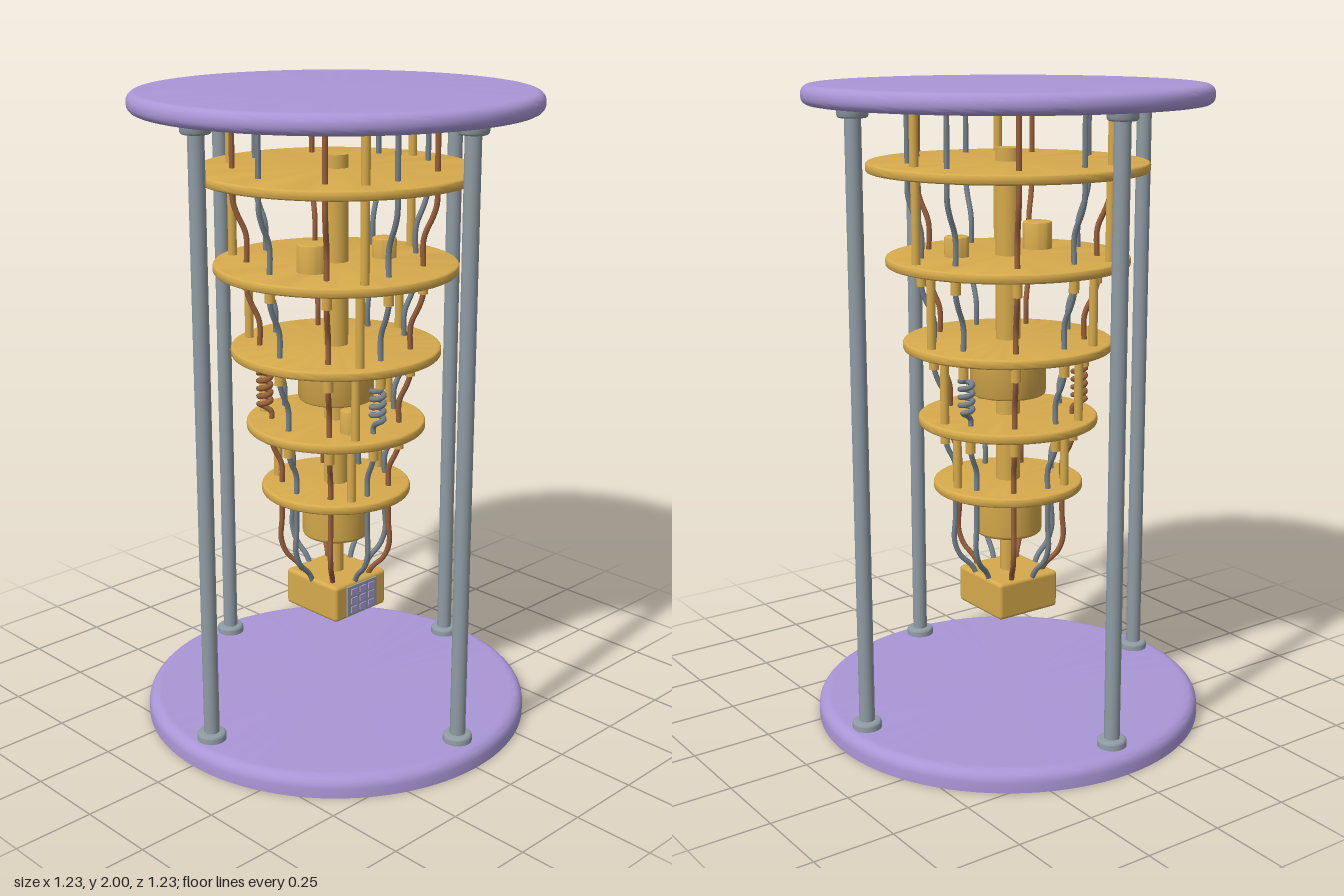
import * as THREE from 'three';
import { toCreasedNormals } from 'three/addons/utils/BufferGeometryUtils.js';
import { RoundedBoxGeometry } from 'three/addons/geometries/RoundedBoxGeometry.js';

const material = (name, color) => {
  const m = new THREE.MeshStandardMaterial({ color });
  m.name = name;
  return m;
};

export function createModel() {
  const root = new THREE.Group();
  root.name = 'cryostatChandelier';
  const lavender = material('lavender', 0xa996d6);
  const gold = material('gold', 0xd6aa4c);
  const steel = material('steel', 0x8f9ba3);
  const wireSteel = material('wireSteel', 0x75828b);
  const copper = material('copper', 0x99603c);

  const add = (name, geometry, mat, x = 0, y = 0, z = 0) => {
    const mesh = new THREE.Mesh(geometry, mat);
    mesh.name = name;
    mesh.position.set(x, y, z);
    root.add(mesh);
    return mesh;
  };

  // Upright cylinder between two heights
  const rod = (name, mat, r, y0, y1, x = 0, z = 0, sides = 20) =>
    add(name, new THREE.CylinderGeometry(r, r, y1 - y0, sides), mat, x, (y0 + y1) / 2, z);

  // Round plate or can with rounded rims; a zero bevel keeps that rim sharp
  const disc = (name, mat, r, y0, y1, bevelLow, bevelHigh, x = 0, z = 0, sides = 64) => {
    const h = y1 - y0;
    const pts = [new THREE.Vector2(0, 0)];
    const arc = (b, cy, from) => {
      if (b === 0) {
        pts.push(new THREE.Vector2(r, cy));
        return;
      }
      for (let i = 0; i <= 5; i++) {
        const a = from + (i / 5) * Math.PI / 2;
        pts.push(new THREE.Vector2(r - b + b * Math.cos(a), cy + b * Math.sin(a)));
      }
    };
    if (bevelLow) pts.push(new THREE.Vector2(r - bevelLow * 1.2, 0));
    arc(bevelLow, bevelLow, -Math.PI / 2);
    arc(bevelHigh, h - bevelHigh, 0);
    if (bevelHigh) pts.push(new THREE.Vector2(r - bevelHigh * 1.2, h));
    pts.push(new THREE.Vector2(0, h));
    return add(name, toCreasedNormals(new THREE.LatheGeometry(pts, sides), 0.6), mat, x, y0, z);
  };

  // Base and top plates
  disc('basePlate', lavender, 0.615, 0, 0.065, 0, 0.035, 0, 0, 96);
  disc('topPlate', lavender, 0.615, 1.94, 2, 0.025, 0.028, 0, 0, 96);

  // Four outer pillars with flanges
  for (let i = 0; i < 4; i++) {
    const x = 0.535 * Math.cos(i * Math.PI / 2), z = 0.535 * Math.sin(i * Math.PI / 2);
    rod('pillar', steel, 0.024, 0.06, 1.945, x, z, 24);
    disc('pillarFootFlange', steel, 0.045, 0.062, 0.09, 0, 0.01, x, z, 24);
    disc('pillarHeadFlange', steel, 0.045, 1.917, 1.945, 0.01, 0, x, z, 24);
  }

  // Stack of shrinking plates: height, radius, radius of the wire ring
  const tiers = [
    { y: 1.755, r: 0.43, wire: 0.31 },
    { y: 1.47, r: 0.375, wire: 0.272 },
    { y: 1.21, r: 0.325, wire: 0.236 },
    { y: 0.972, r: 0.28, wire: 0.203 },
    { y: 0.76, r: 0.235, wire: 0.172 },
  ];
  const half = 0.015;
  tiers.forEach((t) => disc('tierPlate', gold, t.r, t.y - half, t.y + half, 0.009, 0.009));

  // Three hanger rods above every plate
  tiers.forEach((t, i) => {
    const top = i ? tiers[i - 1].y : 1.945;
    const ring = i ? t.r - 0.043 : 0.335;
    for (let k = 0; k < 3; k++) {
      const a = k * Math.PI * 2 / 3;
      rod('hangerRod', gold, 0.0135, t.y, top, ring * Math.cos(a), ring * Math.sin(a), 14);
    }
  });

  // Central column and the cans fixed to the plates
  rod('centralColumn', gold, 0.038, 0.6, 1.81, 0, 0, 28);
  rod('chipStem', gold, 0.025, 0.46, 0.61);
  disc('mixingCan', gold, 0.118, 1.05, 1.2, 0.01, 0, 0, 0, 40);
  disc('lowerCan', gold, 0.107, 0.598, 0.75, 0.012, 0, 0, 0, 40);
  disc('tallCan', gold, 0.046, 1.48, 1.57, 0, 0.006, -0.155, 0.058, 28);
  disc('shortCan', gold, 0.038, 1.48, 1.547, 0, 0.006, 0.147, 0.062, 28);
  disc('smallCan', gold, 0.028, 0.98, 1.06, 0, 0.005, -0.08, 0.14, 24);

  // Nine wires run down the stack, alternating steel and copper
  const wireRadius = 0.0085;
  const tube = (name, curve, mat, steps) =>
    add(name, new THREE.TubeGeometry(curve, steps, wireRadius, 8, false), mat);

  for (let i = 0; i < 9; i++) {
    const a = THREE.MathUtils.degToRad(20 + 40 * i);
    const mat = i % 2 ? copper : wireSteel;
    const at = (r, y) => new THREE.Vector3(r * Math.cos(a), y, r * Math.sin(a));
    const line = (points) => new THREE.CatmullRomCurve3(points.map(([r, y]) => at(r, y)));

    tube('feedWire', line([[0.31, 1.945], [0.31, 1.76]]), mat, 2);

    for (let s = 0; s < 4; s++) {
      const r0 = tiers[s].wire, r1 = tiers[s + 1].wire;
      const y0 = tiers[s].y, y1 = tiers[s + 1].y, d = y0 - y1;
      if (s === 2 && i % 3 === 2) {
        // Coiled wire
        const c = at(0.222, 0);
        const pts = [at(r0, y0), at(r0, 1.15)];
        for (let k = 0; k <= 48; k++) {
          const t = k / 48, b = a + t * Math.PI * 8;
          pts.push(new THREE.Vector3(c.x + 0.019 * Math.cos(b), 1.135 - 0.1 * t, c.z + 0.019 * Math.sin(b)));
        }
        pts.push(at(r1, 1.01), at(r1, y1));
        tube('coiledWire', new THREE.CatmullRomCurve3(pts), mat, 150);
      } else {
        tube('bentWire', line([[r0, y0], [r0, y0 - d * 0.28], [r0 * 0.7 + r1 * 0.3, y0 - d * 0.42],
          [r1, y0 - d * 0.65], [r1, y1]]), mat, 24);
      }
      // Ferrule under the plate
      if (s > 0) {
        const p = at(r0, 0);
        rod('ferrule', gold, 0.0155, y0 - 0.07, y0 - 0.01, p.x, p.z, 14);
      }
    }

    // Tail curving in to the chip housing
    tube('tailWire', line([[0.172, 0.76], [0.172, 0.66], [0.176, 0.58], [0.158, 0.53], [0.12, 0.49], [0.1, 0.45]]), mat, 28);
  }

  // Chip housing with a panel of square cells on its front
  add('chipHousing', new RoundedBoxGeometry(0.225, 0.12, 0.23, 3, 0.012), gold, 0, 0.41, 0);
  add('chipPanel', new THREE.BoxGeometry(0.13, 0.1, 0.008), steel, 0, 0.41, 0.117);
  for (let i = -1; i <= 1; i++) {
    for (let j = -1; j <= 1; j++) {
      add('chipCell', new THREE.BoxGeometry(0.026, 0.02, 0.006), lavender, i * 0.038, 0.41 + j * 0.03, 0.122);
    }
  }
  return root;
}
